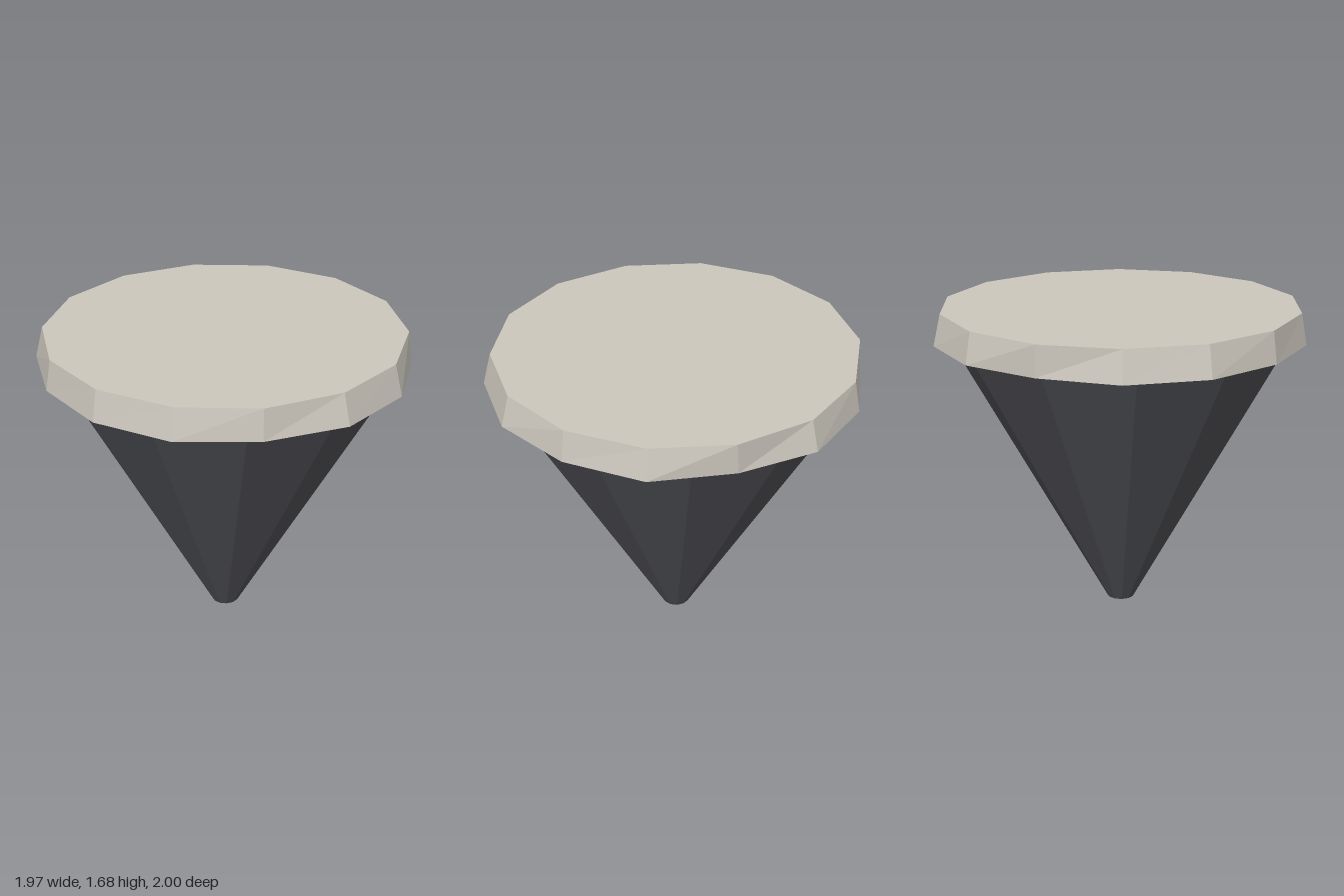
import * as THREE from 'three';

const SIDES = 14;
const RIM_TOP = 1.685, RIM_BASE = 1.515;
const CX = -0.005, CZ = -0.023;

// Uneven lower outline of the slab, clockwise from the back as [x, z]
const LOWER = [
  [0, -1], [0.43, -0.93], [0.785, -0.66], [0.94, -0.25], [0.98, 0.2], [0.775, 0.6], [0.435, 0.895],
  [0, 0.995], [-0.44, 0.87], [-0.795, 0.605], [-0.985, 0.2], [-0.98, -0.25], [-0.797, -0.66], [-0.445, -0.94],
];

// Chipped slab: a regular top outline joined to the uneven lower one
function slabGeometry() {
  const top = LOWER.map((_, i) => {
    const a = (i / SIDES) * Math.PI * 2;
    return [CX + 0.976 * Math.sin(a), RIM_TOP, CZ - 0.976 * Math.cos(a)];
  });
  const low = LOWER.map(([x, z]) => [x, RIM_BASE, z]);
  const topCentre = [CX, RIM_TOP, CZ], lowCentre = [CX, RIM_BASE, CZ];
  const points = [];
  for (let i = 0; i < SIDES; i++) {
    const j = (i + 1) % SIDES;
    points.push(topCentre, top[j], top[i]);
    points.push(lowCentre, low[i], low[j]);
    points.push(low[j], low[i], top[i], low[j], top[i], top[j]);
  }
  const geometry = new THREE.BufferGeometry();
  geometry.setAttribute('position', new THREE.Float32BufferAttribute(points.flat(), 3));
  geometry.computeVertexNormals();
  return geometry;
}

export function createModel() {
  const stone = new THREE.MeshStandardMaterial({ color: 0xcdc8be, flatShading: true });
  stone.name = 'paleStone';
  const slate = new THREE.MeshStandardMaterial({ color: 0x55565c, flatShading: true });
  slate.name = 'darkSlate';

  const group = new THREE.Group();
  group.name = 'taperedPedestal';

  // Pale slab on top
  const slab = new THREE.Mesh(slabGeometry(), stone);
  slab.name = 'topSlab';
  group.add(slab);

  // Twelve-sided cone tapering to a small flat foot
  const cone = new THREE.Mesh(new THREE.CylinderGeometry(0.925, 0.075, RIM_BASE, 12), slate);
  cone.name = 'taperedBody';
  cone.position.set(CX, RIM_BASE / 2, CZ);
  group.add(cone);

  return group;
}
